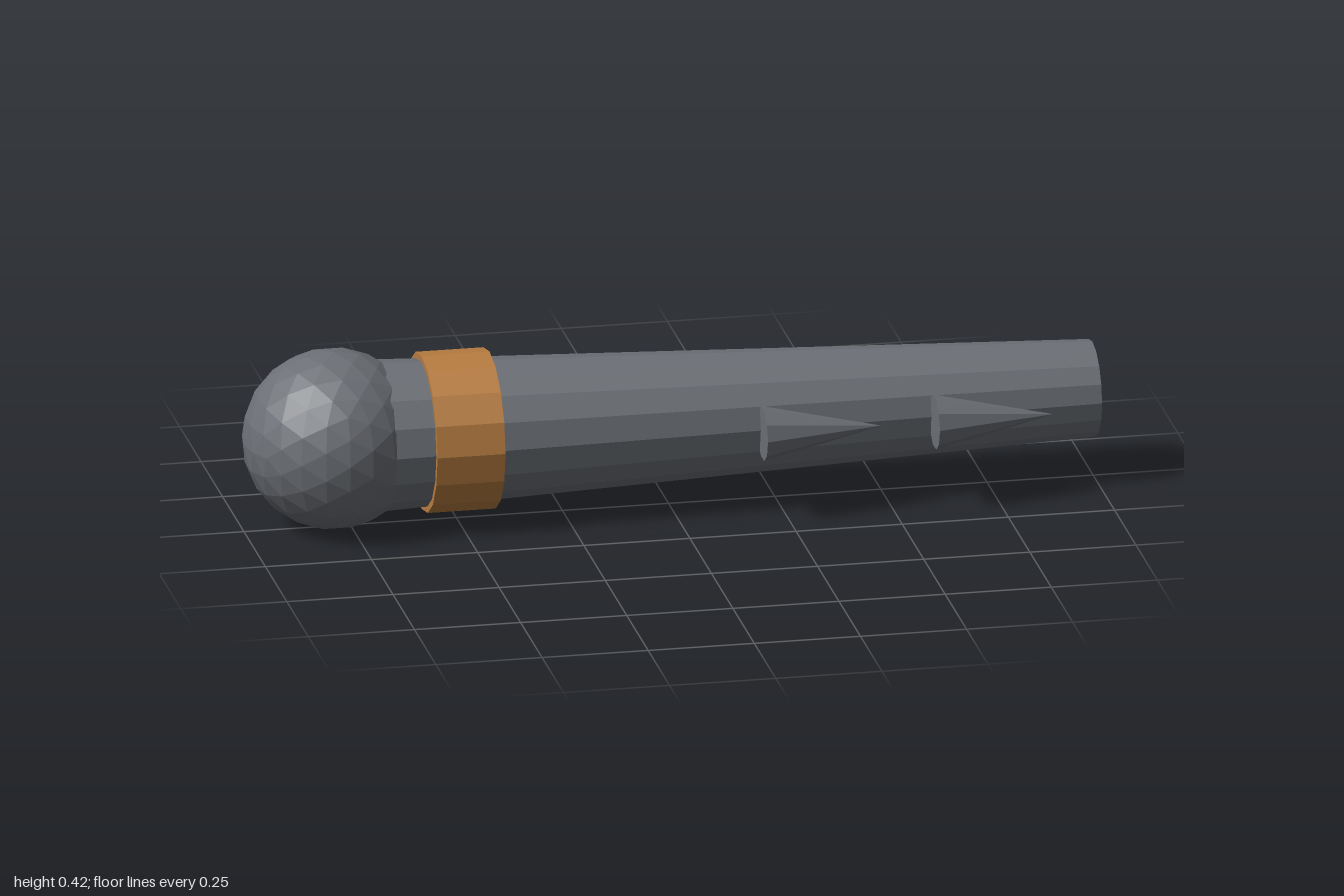
import * as THREE from 'three';

const AXIS_Y = 0.212, AXIS_Z = -0.008;

export function createModel() {
  const group = new THREE.Group();
  const steel = new THREE.MeshStandardMaterial({ name: 'darkSteel', color: 0x6c7076, flatShading: true });
  const copper = new THREE.MeshStandardMaterial({ name: 'copper', color: 0xb87d40, flatShading: true });

  const add = (name, geometry, material, x, z = AXIS_Z) => {
    const mesh = new THREE.Mesh(geometry, material);
    mesh.name = name;
    mesh.position.set(x, AXIS_Y, z);
    group.add(mesh);
  };

  // Faceted cylinder or cone lying along x, from x0 (radius r0) to x1 (radius r1)
  const addAlongX = (name, material, x0, x1, r0, r1, sides, z) => {
    const geometry = new THREE.CylinderGeometry(r1, r0, x1 - x0, sides).rotateZ(-Math.PI / 2);
    add(name, geometry, material, (x0 + x1) / 2, z);
  };

  // Ball pommel, tapered shaft and collar
  add('ballEnd', new THREE.IcosahedronGeometry(0.211, 3), steel, -0.789);
  addAlongX('shaft', steel, -0.79, 1, 0.18, 0.113, 16);
  addAlongX('collar', copper, -0.58, -0.42, 0.187, 0.187, 16);

  // Barbs along the front, pointing to the narrow end
  for (const x of [0.19, 0.595]) addAlongX('barb', steel, x, x + 0.28, 0.064, 0, 10, 0.156);

  return group;
}
